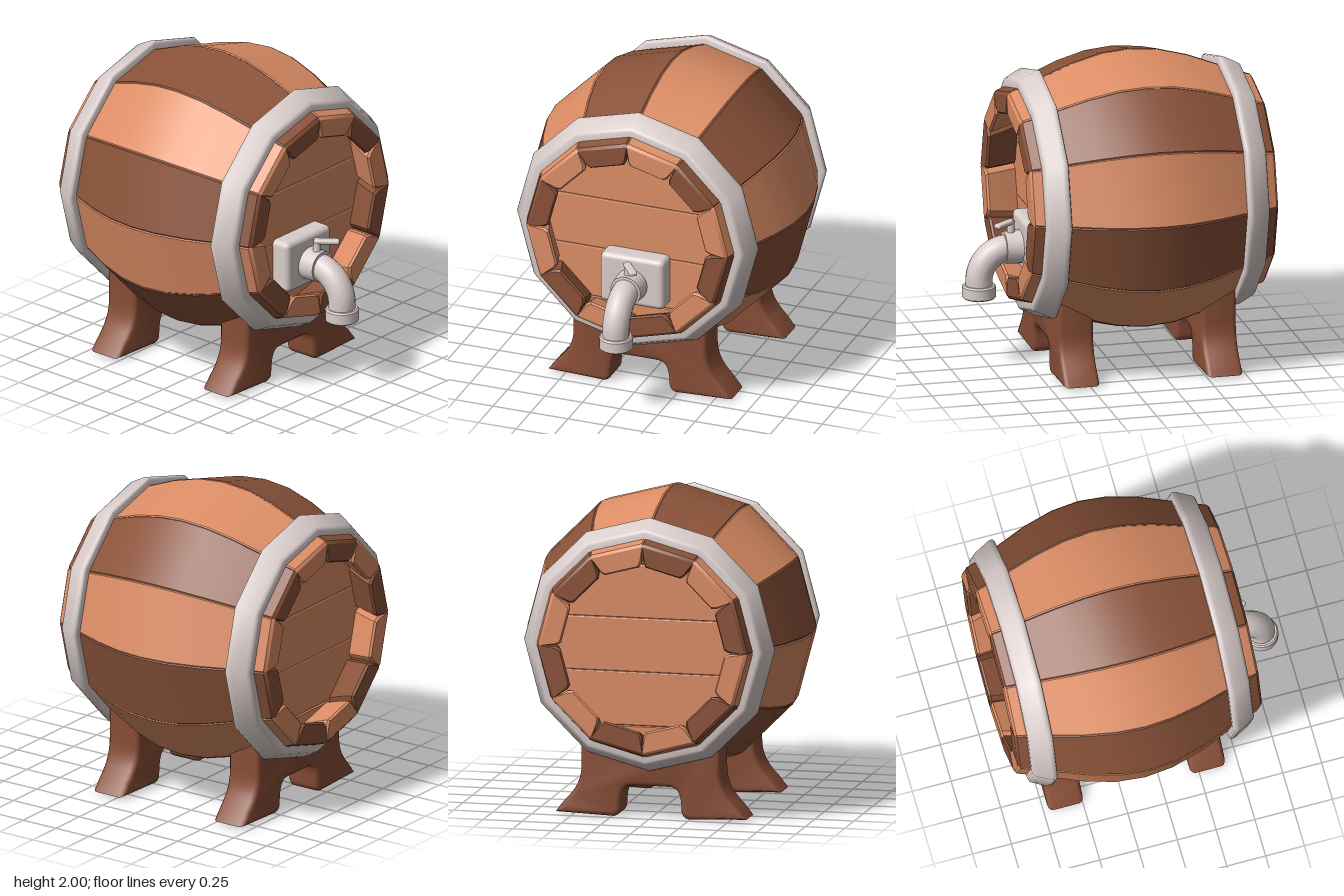
import * as THREE from 'three';
import { toCreasedNormals } from 'three/addons/utils/BufferGeometryUtils.js';
import { RoundedBoxGeometry } from 'three/addons/geometries/RoundedBoxGeometry.js';

const material = (color, side = THREE.FrontSide) => new THREE.MeshStandardMaterial({ color, side });
const lightWood = material(0xdc8d65);
const darkWood = material(0x8a5239);
const footWood = material(0x874d36);
const metal = material(0xd9cdcb, THREE.DoubleSide);

const AXIS_X = -0.145, AXIS_Y = 1.105, SIDES = 12;

function part(name, geometry, mat, parent) {
  const mesh = new THREE.Mesh(geometry, mat);
  mesh.name = name;
  parent.add(mesh);
  return mesh;
}

// One bulging stave: a bevelled cross-section swept along x
function staveGeometry() {
  const half = [[0, 0.899], [0.18, 0.882], [0.37, 0.83], [0.565, 0.752], [0.7, 0.697], [0.773, 0.672]];
  const stations = [
    ...half.slice(1).reverse().map(([x, r]) => [-x, r, 0]),
    ...half.map(([x, r]) => [x, r, 0]),
  ];
  stations.unshift([-0.787, 0.667, 0.014]);
  stations.push([0.787, 0.667, 0.014]);
  const c = Math.cos(Math.PI / SIDES), s = Math.sin(Math.PI / SIDES), b = 0.008, bi = 0.022;
  const positions = [], index = [];
  for (const [x, r, inset] of stations) {
    const ri = r - 0.145;
    const w = r * s - inset * 0.5, v = r * c - inset;
    const wi = ri * s - inset * 0.5, vi = ri * c + inset;
    const side = [[w - b, v], [w, v - b], [wi, vi + bi], [wi - bi, vi]];
    const ring = [...side, ...side.map(([z, y]) => [-z, y]).reverse()];
    for (const [z, y] of ring) positions.push(x, y, z);
  }
  const last = stations.length - 1;
  for (let i = 0; i < last; i++) {
    for (let j = 0; j < 8; j++) {
      const k = (j + 1) % 8, p = i * 8, q = p + 8;
      index.push(p + j, p + k, q + k, p + j, q + k, q + j);
    }
  }
  for (let j = 1; j < 7; j++) {
    index.push(0, j + 1, j);
    index.push(last * 8, last * 8 + j, last * 8 + j + 1);
  }
  const g = new THREE.BufferGeometry();
  g.setAttribute('position', new THREE.Float32BufferAttribute(positions, 3));
  g.setIndex(index);
  return toCreasedNormals(g, 0.5);
}

// Deeply recessed barrel end made of horizontal planks
function makeHead() {
  const head = new THREE.Group();
  head.name = 'barrelHead';
  const R = 0.68, seams = [-0.655, -0.52, -0.18, 0.16, 0.5, 0.655], bevel = 0.01, inset = 0.008;
  for (let i = 0; i < seams.length - 1; i++) {
    const y0 = seams[i] + inset, y1 = seams[i + 1] - inset;
    const w0 = Math.sqrt(R * R - y0 * y0), w1 = Math.sqrt(R * R - y1 * y1);
    const shape = new THREE.Shape([[-w0, y0], [w0, y0], [w1, y1], [-w1, y1]].map(p => new THREE.Vector2(...p)));
    const g = new THREE.ExtrudeGeometry(shape, { depth: 0.04, bevelSize: bevel, bevelThickness: bevel, bevelSegments: 2 });
    g.rotateY(Math.PI / 2).translate(0.53, 0, 0);
    part('headPlank', g, lightWood, head);
  }
  return head;
}

// Tapered metal band, wide edge toward the barrel's middle
function hoopGeometry() {
  const profile = [[0.71, 0.565], [0.782, 0.565], [0.797, 0.572], [0.802, 0.588], [0.797, 0.606],
    [0.75, 0.695], [0.74, 0.709], [0.725, 0.715], [0.67, 0.715], [0.71, 0.565]];
  const g = new THREE.LatheGeometry(profile.map(p => new THREE.Vector2(...p)), SIDES);
  g.rotateZ(-Math.PI / 2);
  return toCreasedNormals(g, 0.9);
}

// Arched foot board with flared toes
function footGeometry() {
  const b = 0.03;
  const s = new THREE.Shape();
  s.moveTo(-0.415, 0.52);
  s.lineTo(-0.415, 0.32);
  s.bezierCurveTo(-0.415, 0.2, -0.46, 0.13, -0.57, b);
  s.lineTo(-0.245, b);
  s.quadraticCurveTo(-0.228, b, -0.225, 0.05);
  s.bezierCurveTo(-0.22, 0.18, -0.2, 0.23, -0.1, 0.23);
  s.lineTo(0.1, 0.23);
  s.bezierCurveTo(0.2, 0.23, 0.22, 0.18, 0.225, 0.05);
  s.quadraticCurveTo(0.228, b, 0.245, b);
  s.lineTo(0.57, b);
  s.bezierCurveTo(0.46, 0.13, 0.415, 0.2, 0.415, 0.32);
  s.lineTo(0.415, 0.52);
  const g = new THREE.ExtrudeGeometry(s, { depth: 0.168, bevelSize: b, bevelThickness: b, bevelSegments: 3, curveSegments: 8 });
  g.translate(0, 0, -0.084).rotateY(Math.PI / 2);
  return toCreasedNormals(g, 0.6);
}

function makeTap() {
  const tap = new THREE.Group();
  tap.name = 'tap';
  part('tapPlate', new RoundedBoxGeometry(0.15, 0.335, 0.425, 4, 0.035), metal, tap).position.set(0.48, 0.788, 0);

  const flange = part('tapFlange', new THREE.CylinderGeometry(0.1, 0.107, 0.12, 20), metal, tap);
  flange.rotation.z = -Math.PI / 2;
  flange.position.set(0.6, 0.768, 0);

  // Spout bending from horizontal to straight down
  const path = new THREE.CurvePath();
  const v = (x, y) => new THREE.Vector3(x, y, 0);
  path.add(new THREE.LineCurve3(v(0.6, 0.765), v(0.65, 0.765)));
  path.add(new THREE.CubicBezierCurve3(v(0.65, 0.765), v(0.74, 0.755), v(0.82, 0.67), v(0.82, 0.57)));
  path.add(new THREE.LineCurve3(v(0.82, 0.57), v(0.82, 0.51)));
  part('spout', new THREE.TubeGeometry(path, 24, 0.085, 16), metal, tap);

  // Hollow collar at the mouth
  const rim = [[0, 0.505], [0.065, 0.505], [0.07, 0.455], [0.097, 0.455], [0.106, 0.463], [0.106, 0.53], [0.097, 0.54], [0.07, 0.54]];
  const collar = new THREE.LatheGeometry(rim.map(p => new THREE.Vector2(...p)), 20);
  part('spoutCollar', toCreasedNormals(collar, 0.6), metal, tap).position.x = 0.82;

  // Valve stem and lever
  part('valveStem', new THREE.CylinderGeometry(0.022, 0.028, 0.12, 12), metal, tap).position.set(0.615, 0.885, 0);
  const lever = part('valveLever', new RoundedBoxGeometry(0.16, 0.03, 0.05, 2, 0.012), metal, tap);
  lever.position.set(0.665, 0.932, -0.035);
  lever.rotation.y = 0.65;
  return tap;
}

export function createModel() {
  const model = new THREE.Group();
  model.name = 'barrelWithTap';

  const barrel = new THREE.Group();
  barrel.name = 'barrel';
  barrel.position.set(AXIS_X, AXIS_Y, 0);
  model.add(barrel);

  // Alternating dark and light staves
  const stave = staveGeometry();
  for (let k = 0; k < SIDES; k++) {
    const mesh = part('stave', stave, k % 2 ? lightWood : darkWood, barrel);
    mesh.rotation.x = (k + 0.5) * 2 * Math.PI / SIDES;
  }

  // Heads and hoops at both ends, feet beneath
  const hoop = hoopGeometry(), foot = footGeometry();
  for (const end of [1, -1]) {
    const turn = end > 0 ? 0 : Math.PI;
    const head = makeHead();
    head.rotation.y = turn;
    barrel.add(head);
    part('hoop', hoop, metal, barrel).rotation.y = turn;
    part('foot', foot, footWood, model).position.x = AXIS_X - 0.003 + end * 0.458;
  }

  model.add(makeTap());
  return model;
}
